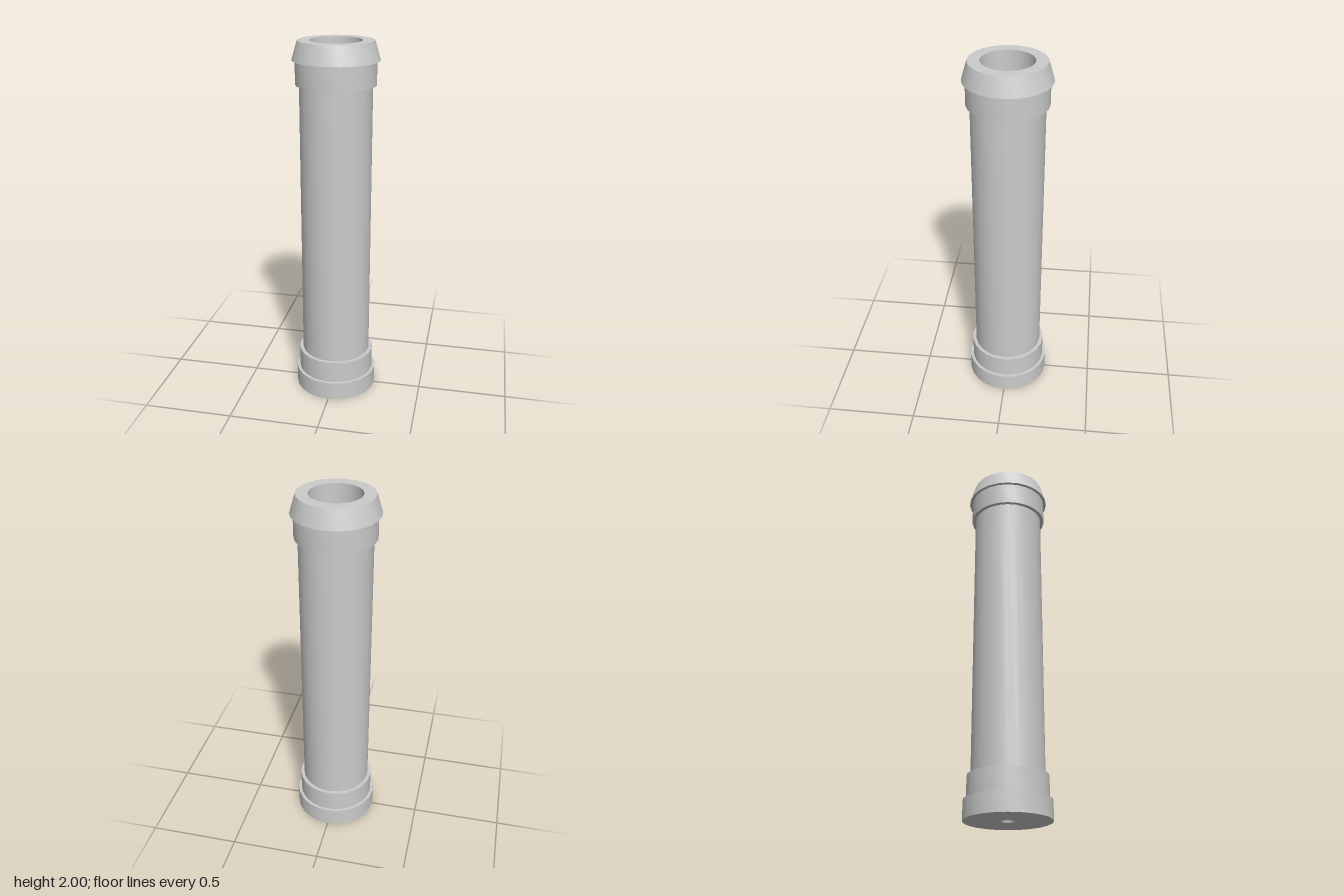
import * as THREE from 'three';
import { toCreasedNormals } from 'three/addons/utils/BufferGeometryUtils.js';

const SIDES = 24;
const BASE = 0.23, COLLAR = 0.213, BARREL = 0.193, RIM = 0.2, BORE = 0.137;
const FLOOR = 0.1;

export function createModel() {
  const model = new THREE.Group();
  model.name = 'flangedTube';
  const material = new THREE.MeshStandardMaterial({ color: 0xcccccc });

  // Turns a [radius, height] profile around y, keeping its corners sharp
  const turn = (name, profile) => {
    const points = profile.map(([r, y]) => new THREE.Vector2(r, y));
    const geometry = toCreasedNormals(new THREE.LatheGeometry(points, SIDES), 0.5);
    const mesh = new THREE.Mesh(geometry, material);
    mesh.name = name;
    model.add(mesh);
  };

  // Outside, from bottom to top; each part carries its own ledges
  turn('baseFlange', [[0.036, 0], [BASE, 0], [BASE, 0.105], [COLLAR, 0.105]]);
  turn('lowerCollar', [[COLLAR, 0.105], [COLLAR, 0.23], [BARREL, 0.23]]);
  turn('barrel', [[BARREL, 0.23], [BARREL, 1.775]]);
  turn('upperCollar', [[BARREL, 1.775], [COLLAR, 1.775], [COLLAR, 1.9]]);
  turn('taperedRim', [[COLLAR, 1.9], [BASE, 1.9], [RIM, 2], [BORE, 2]]);

  // Inside: the bore with its floor, and the tapered hole through the base
  turn('bore', [[BORE, 2], [BORE, FLOOR], [0.006, FLOOR]]);
  turn('baseHole', [[0.006, FLOOR], [0.036, 0]]);

  return model;
}
